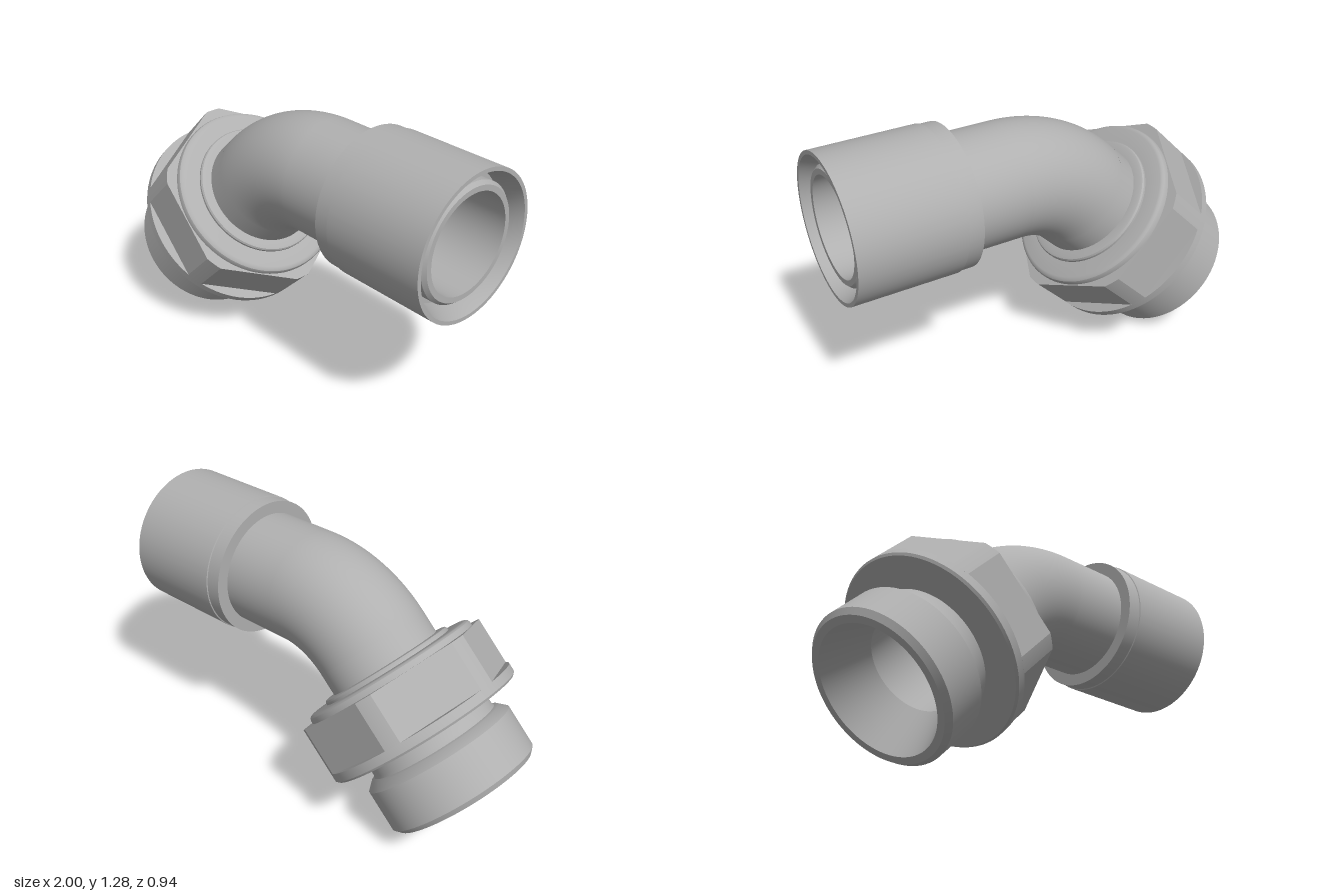
import * as THREE from 'three';
import { toCreasedNormals } from 'three/addons/utils/BufferGeometryUtils.js';

const steel = new THREE.MeshStandardMaterial({ color: 0xb0b0b0, side: THREE.DoubleSide });
steel.name = 'steel';

const PIPE = 0.27, BORE = 0.225, BEND = 0.53;

function add(group, name, geometry) {
  const mesh = new THREE.Mesh(geometry, steel);
  mesh.name = name;
  group.add(mesh);
  return mesh;
}

// Turned part from [radius, distance along axis] pairs
function turned(profile) {
  const points = profile.map(([r, s]) => new THREE.Vector2(r, s));
  return toCreasedNormals(new THREE.LatheGeometry(points, 96), 0.5);
}

// Hexagon with its corners turned down to a round blank
function hexagon(flat, round, depth) {
  const half = Math.acos(flat / round);
  const shape = new THREE.Shape();
  for (let i = 0; i < 6; i++) {
    const a = Math.PI / 6 + i * Math.PI / 3;
    const x = round * Math.cos(a - half), y = round * Math.sin(a - half);
    if (i === 0) shape.moveTo(x, y); else shape.lineTo(x, y);
    shape.lineTo(round * Math.cos(a + half), round * Math.sin(a + half));
    shape.absarc(0, 0, round, a + half, a + Math.PI / 3 - half, false);
  }
  const hole = new THREE.Path();
  hole.absarc(0, 0, PIPE, 0, Math.PI * 2, true);
  shape.holes.push(hole);
  const geometry = new THREE.ExtrudeGeometry(shape, { depth, bevelEnabled: false, curveSegments: 24 });
  return geometry.rotateX(-Math.PI / 2);
}

export function createModel() {
  const model = new THREE.Group();
  model.name = 'elbowFitting';

  // Slanted end: local y runs up the axis from the open mouth
  const lower = new THREE.Group();
  lower.name = 'unionEnd';
  lower.position.set(-0.757, 0.245, 0);
  lower.rotation.z = -Math.PI / 4;
  model.add(lower);

  add(lower, 'spigot', turned([
    [BORE, 0.24], [0.31, 0], [0.345, 0], [0.368, 0.025], [0.368, 0.222],
    [0.332, 0.256], [0.315, 0.262], [0.31, 0.275], [0.31, 0.345],
  ]));
  add(lower, 'nutFlange', turned([[0.29, 0.337], [0.46, 0.337], [0.47, 0.347], [0.47, 0.388], [0.4, 0.388]]));
  add(lower, 'hexNut', hexagon(0.425, 0.47, 0.23)).position.y = 0.387;
  add(lower, 'nutCollar', turned([
    [0.42, 0.61], [0.42, 0.632], [0.416, 0.643], [0.408, 0.65], [0.397, 0.653], [0.32, 0.653],
  ]));
  add(lower, 'retainingRing', turned([[0.32, 0.653], [0.32, 0.664], [0.315, 0.672], [0.305, 0.675], [PIPE, 0.675]]));
  add(lower, 'lowerPipe', turned([[PIPE, 0.6], [PIPE, 0.781]]));
  add(lower, 'lowerBore', turned([[BORE, 0.781], [BORE, 0.24]]));

  // 45 degree bend, outside and bore
  for (const [name, radius] of [['bend', PIPE], ['bendBore', BORE]]) {
    const bend = add(model, name, new THREE.TorusGeometry(BEND, radius, 96, 40, Math.PI / 4));
    bend.position.set(0.17, 0.952 - BEND, 0);
    bend.rotation.z = Math.PI / 2;
  }

  // Straight end: local y runs along +x
  const upper = new THREE.Group();
  upper.name = 'sleeveEnd';
  upper.position.set(0, 0.952, 0);
  upper.rotation.z = -Math.PI / 2;
  model.add(upper);

  add(upper, 'upperPipe', turned([[PIPE, 0.17], [PIPE, 0.46]]));
  add(upper, 'sleeve', turned([
    [PIPE, 0.443], [0.328, 0.443], [0.328, 0.513], [0.333, 0.515], [0.333, 1],
    [0.315, 1], [0.29, 0.93], [0.29, 0.88], [0.265, 0.88],
  ]));
  add(upper, 'innerTube', turned([
    [0.265, 0.88], [0.265, 0.955], [0.25, 0.972], [BORE, 0.972], [BORE, 0.17],
  ]));

  return model;
}
